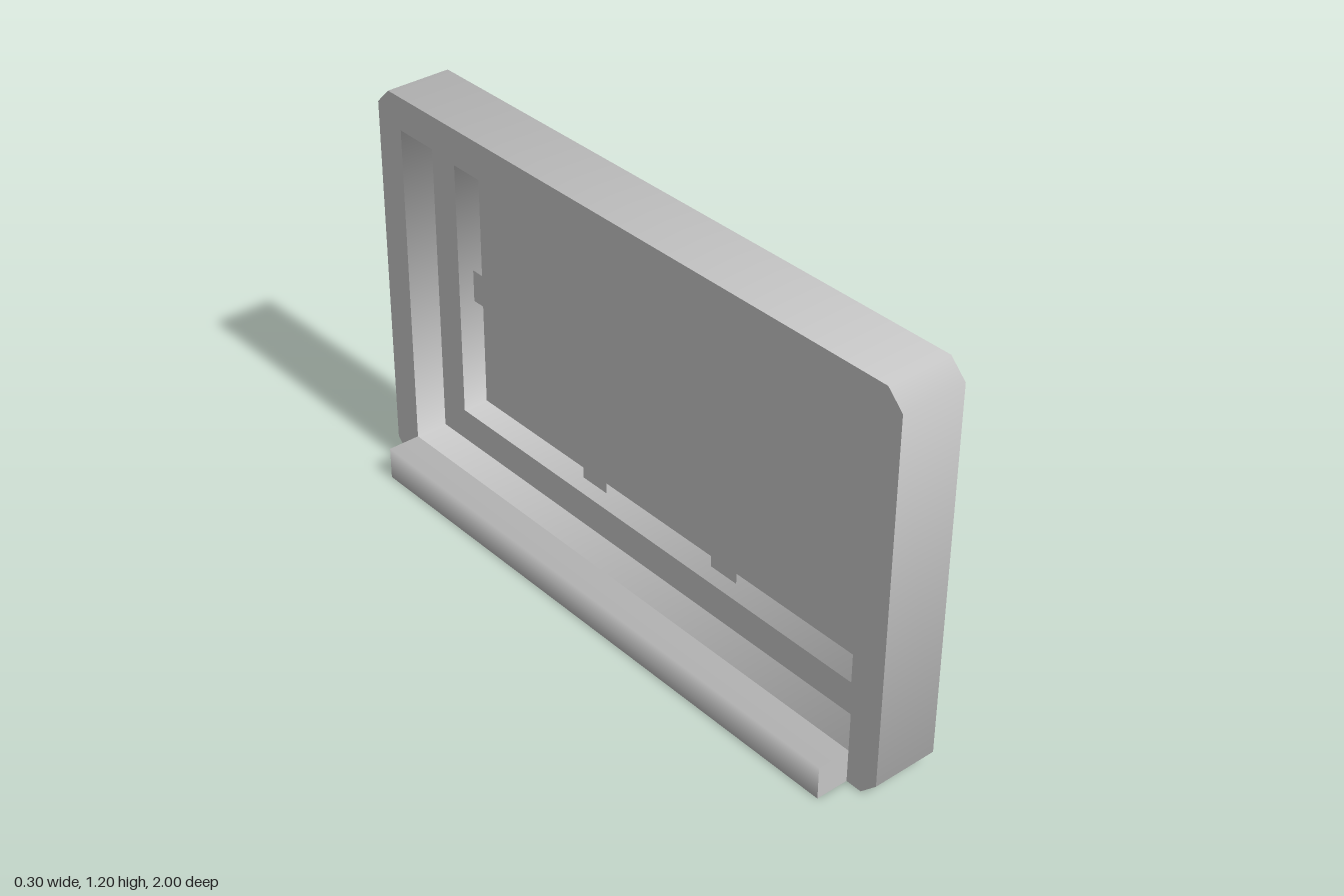
import * as THREE from 'three';

const grey = new THREE.MeshStandardMaterial({ color: 0xc4c4c4 });
grey.name = 'plainGrey';

// Counter-clockwise rectangle with optionally cut corners, symmetric about x = 0
function rect(halfW, y0, y1, cut = 0) {
  if (!cut) return [[-halfW, y0], [halfW, y0], [halfW, y1], [-halfW, y1]];
  return [
    [-halfW + cut, y0], [halfW - cut, y0], [halfW, y0 + cut], [halfW, y1 - cut],
    [halfW - cut, y1], [-halfW + cut, y1], [-halfW, y1 - cut], [-halfW, y0 + cut],
  ];
}

// Band along a loop, normals blended evenly at each corner; a clockwise loop faces inward
function band(points, z0, z1) {
  const n = points.length, pos = [], nor = [], idx = [];
  const edge = points.map((p, i) => {
    const q = points[(i + 1) % n];
    return new THREE.Vector2(q[1] - p[1], p[0] - q[0]).normalize();
  });
  points.forEach(([x, y], i) => {
    const v = edge[i].clone().add(edge[(i + n - 1) % n]).normalize();
    pos.push(x, y, z0, x, y, z1);
    nor.push(v.x, v.y, 0, v.x, v.y, 0);
    const a = 2 * i, b = 2 * ((i + 1) % n);
    idx.push(a, b, b + 1, a, b + 1, a + 1);
  });
  const g = new THREE.BufferGeometry();
  g.setAttribute('position', new THREE.Float32BufferAttribute(pos, 3));
  g.setAttribute('normal', new THREE.Float32BufferAttribute(nor, 3));
  g.setIndex(idx);
  return g;
}

// Flat face at depth z, looking along +z or -z, with an optional hole
function face(points, z, dir, hole) {
  const toPath = (pts) => pts.map(([x, y]) => new THREE.Vector2(x, y));
  const shape = new THREE.Shape(toPath(points));
  if (hole) shape.holes.push(new THREE.Path(toPath(hole)));
  const g = new THREE.ShapeGeometry(shape);
  if (dir < 0) g.rotateY(Math.PI);
  return g.translate(0, 0, z);
}

function add(group, name, geometry) {
  const mesh = new THREE.Mesh(geometry, grey);
  mesh.name = name;
  group.add(mesh);
  return mesh;
}

export function createModel() {
  const model = new THREE.Group();
  model.name = 'window';

  // Window body, drawn flat and then turned so its depth runs along x
  const body = new THREE.Group();
  body.name = 'windowBody';
  body.rotation.y = Math.PI / 2;
  model.add(body);

  const outline = rect(1, 0, 1.2, 0.05);
  const opening = rect(0.9, 0.1, 1.1);
  const paneArea = rect(0.8, 0.2, 1.0);

  // Outer casing
  add(body, 'outerRim', band(outline, -0.05, 0.15));
  add(body, 'backPanel', face(outline, 0.15, 1));
  add(body, 'frameFace', face(outline, -0.05, -1, opening));

  // Stepped recess and pane
  add(body, 'openingWalls', band([...opening].reverse(), -0.05, 0.05));
  add(body, 'innerFrameFace', face(opening, 0.05, -1, paneArea));
  add(body, 'paneWalls', band([...paneArea].reverse(), 0.05, 0.13));
  add(body, 'pane', face(paneArea, 0.13, -1));

  // Flat glazing bars in front of the pane
  add(body, 'horizontalBar', face(rect(0.8, 0.55, 0.65), 0.1, -1));
  for (const side of [-1, 1]) {
    for (const [y0, y1] of [[0.2, 0.55], [0.65, 1.0]]) {
      const bar = add(body, 'verticalBar', face(rect(0.05, y0, y1), 0.1, -1));
      bar.position.x = side * 0.267;
    }
  }

  // Sill along the bottom
  const sill = new THREE.Group();
  sill.name = 'sill';
  sill.position.x = -0.1;
  model.add(sill);
  const section = rect(0.05, 0, 0.1);
  add(sill, 'sillSides', band(section, -0.9, 0.9));
  for (const dir of [-1, 1]) add(sill, 'sillEnd', face(section, dir * 0.9, dir));

  return model;
}
